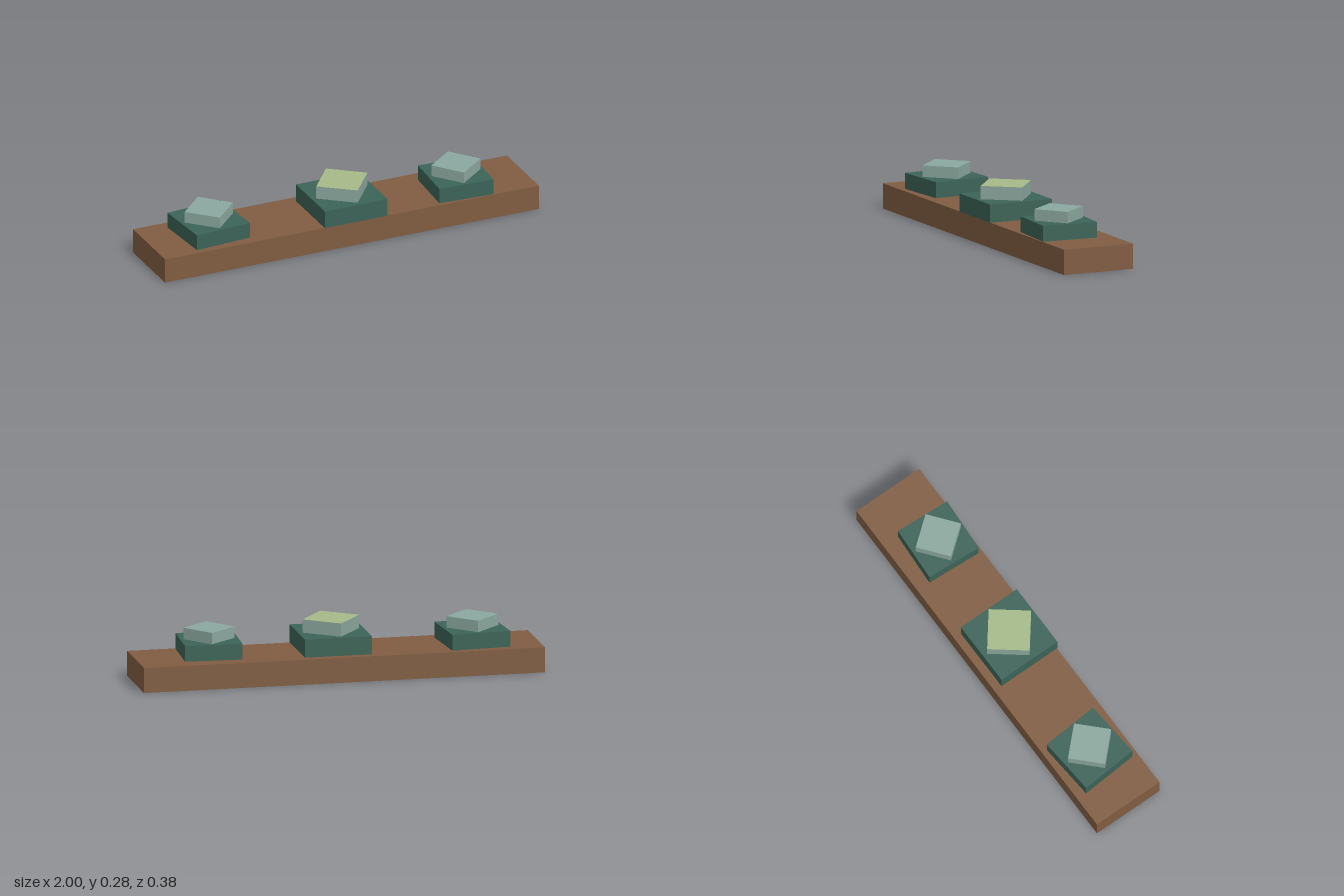
import * as THREE from 'three';

const mat = (name, color) => {
  const m = new THREE.MeshStandardMaterial({ color, side: THREE.DoubleSide });
  m.name = name;
  return m;
};

// Box without its underside; base sits at y = 0. Group 0 = walls, group 1 = top.
function openBox(w, h, d) {
  const g = new THREE.BoxGeometry(w, h, d).translate(0, h / 2, 0);
  const idx = Array.from(g.index.array);
  const walls = [...idx.slice(0, 12), ...idx.slice(24, 36)];
  g.setIndex([...walls, ...idx.slice(12, 18)]);
  g.clearGroups();
  g.addGroup(0, 24, 0);
  g.addGroup(24, 6, 1);
  return g;
}

export function createModel() {
  const model = new THREE.Group();
  model.name = 'plankWithBlocks';
  const wood = mat('brown wood', 0x805d42);
  const green = mat('dark green', 0x3c6357);
  const sage = mat('pale sage', 0x8ba89f);
  const lime = mat('soft lime', 0xa6ba89);

  const add = (name, size, x, y, z, turn, side, top = side) => {
    const mesh = new THREE.Mesh(openBox(...size), [side, top]);
    mesh.name = name;
    mesh.position.set(x, y, z);
    mesh.rotation.y = turn;
    model.add(mesh);
  };

  // Hollow plank, open underneath
  const deck = 0.125;
  add('plank', [2, deck, 0.375], 0, 0, -0.001, 0, wood);

  // Three square blocks, each with a turned cap on top
  const blocks = [
    { name: 'right', x: -0.68, z: -0.002, s: 0.295, h: 0.079, turn: 0.08, cap: 0.183, capH: 0.057, capTurn: 0.785, top: sage },
    { name: 'middle', x: 0.021, z: 0.021, s: 0.336, h: 0.09, turn: 0.003, cap: 0.207, capH: 0.066, capTurn: -0.66, top: lime },
    { name: 'left', x: 0.626, z: 0.032, s: 0.284, h: 0.078, turn: -0.055, cap: 0.178, capH: 0.057, capTurn: -0.897, top: sage },
  ];
  for (const b of blocks) {
    add(b.name + 'Block', [b.s, b.h, b.s], b.x, deck, b.z, b.turn, green);
    add(b.name + 'Cap', [b.cap, b.capH, b.cap], b.x, deck + b.h, b.z, b.capTurn, sage, b.top);
  }
  return model;
}
